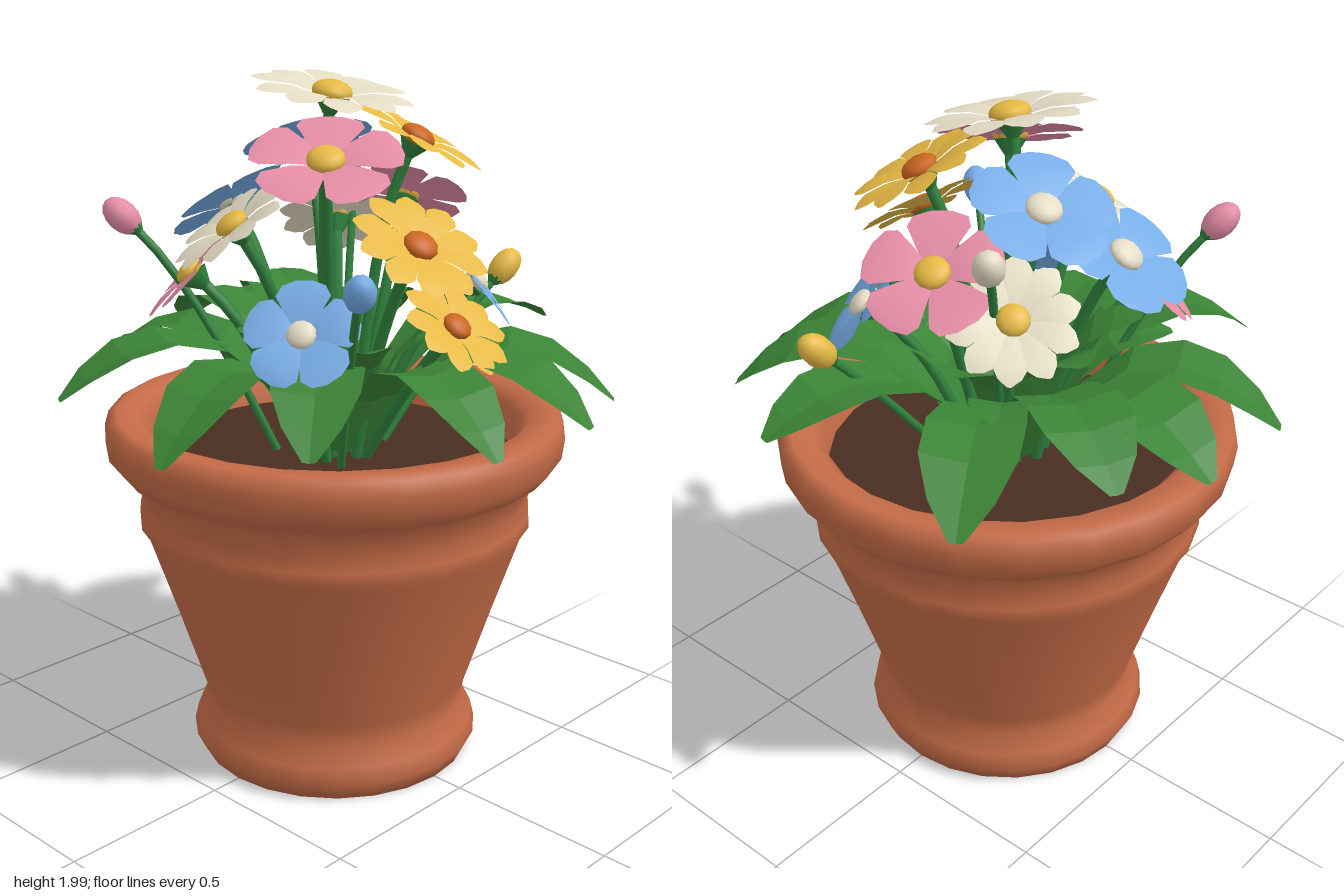
import * as THREE from 'three';
import { mergeGeometries } from 'three/addons/utils/BufferGeometryUtils.js';

const V = (x, y, z) => new THREE.Vector3(x, y, z);
const UP = V(0, 1, 0);

function mat(name, color, extra = {}) {
  const m = new THREE.MeshStandardMaterial({ color, ...extra });
  m.name = name;
  return m;
}

// Folded strip along +z; each row is [z, y, halfWidth], with raised edges
function blade(rows, fold) {
  const pos = [], idx = [];
  rows.forEach(([z, y, w], i) => {
    pos.push(-w, y + w * fold, z, 0, y, z, w, y + w * fold, z);
    if (i === 0) return;
    const a = (i - 1) * 3, b = i * 3;
    for (let k = 0; k < 2; k++) idx.push(a + k, b + k, a + k + 1, a + k + 1, b + k, b + k + 1);
  });
  const g = new THREE.BufferGeometry();
  g.setAttribute('position', new THREE.Float32BufferAttribute(pos, 3));
  g.setIndex(idx);
  g.computeVertexNormals();
  return g;
}

export function createModel() {
  const root = new THREE.Group();
  const thin = { side: THREE.DoubleSide };
  const M = {
    terracotta: mat('terracotta', 0xc46b47),
    soil: mat('soil', 0x4a2d21),
    leaf: mat('leaf green', 0x3b8336, { side: THREE.DoubleSide, flatShading: true }),
    stem: mat('stem green', 0x2f803c),
    pink: mat('pink', 0xe58ca6, thin),
    cream: mat('cream', 0xe4dcc4, thin),
    yellow: mat('yellow', 0xe6b944, thin),
    blue: mat('blue', 0x77ace6, thin),
    orange: mat('orange', 0xcc661f),
  };
  const add = (parent, name, geo, material) => {
    const m = new THREE.Mesh(geo, material);
    m.name = name;
    parent.add(m);
    return m;
  };

  // Pot with foot, body, band and rolled rim
  const profile = [
    [0, 0], [0.405, 0], [0.43, 0.05], [0.418, 0.1], [0.385, 0.155], [0.398, 0.22],
    [0.475, 0.46], [0.552, 0.69], [0.575, 0.725], [0.573, 0.76], [0.563, 0.8], [0.585, 0.875],
    [0.625, 0.897], [0.66, 0.94], [0.668, 1.0], [0.656, 1.04], [0.63, 1.053],
    [0.57, 1.045], [0.535, 1.01], [0.52, 0.9],
  ].map(([r, y]) => new THREE.Vector2(r, y));
  add(root, 'pot', new THREE.LatheGeometry(profile, 24), M.terracotta);
  const soil = add(root, 'soil', new THREE.CircleGeometry(0.528, 24).rotateX(-Math.PI / 2), M.soil);
  soil.position.y = 0.92;

  // Leaves: [tip x, tip y, tip z, half width, arch height]
  const leaves = [
    [0.1, 1.17, -0.77, 0.14, 1.38], [-0.35, 1.1, -0.7, 0.12, 1.36], [0.34, 1.2, -0.65, 0.13, 1.4],
    [0.68, 1.13, -0.42, 0.13, 1.38], [0.755, 1.22, 0.18, 0.12, 1.37], [0.46, 1.1, 0.65, 0.13, 1.35],
    [0.19, 1.1, 0.76, 0.13, 1.35], [-0.13, 1.07, 0.7, 0.12, 1.34], [-0.53, 1.1, 0.42, 0.12, 1.36],
    [-0.76, 1.07, 0.12, 0.12, 1.36], [-0.73, 1.15, -0.33, 0.12, 1.38],
    // Shorter upright leaves in the middle
    [0.33, 1.33, -0.1, 0.09, 1.3], [0.22, 1.3, 0.3, 0.09, 1.28], [-0.2, 1.3, 0.32, 0.09, 1.28],
    [-0.36, 1.33, 0.0, 0.09, 1.3], [-0.2, 1.38, -0.32, 0.09, 1.35], [0.14, 1.38, -0.38, 0.1, 1.35],
    [0.38, 1.28, -0.3, 0.09, 1.28], [-0.38, 1.26, -0.3, 0.09, 1.28],
  ];
  const leafShape = [[0, 0.32], [0.2, 0.6], [0.42, 0.86], [0.62, 1], [0.78, 0.98], [0.91, 0.65], [1, 0.15]];
  for (const [x, y, z, width, arch] of leaves) {
    const R = Math.hypot(x, z);
    const curve = new THREE.CubicBezierCurve3(
      V(0, 0.93, 0.08), V(0, arch - 0.05, R * 0.35), V(0, arch, R * 0.65), V(0, y, R));
    const rows = leafShape.map(([t, w]) => {
      const p = curve.getPoint(t);
      return [p.z, p.y, w * width];
    });
    add(root, 'leaf', blade(rows, 0.16), M.leaf).rotation.y = Math.atan2(x, z);
  }

  // Stem curving up from the soil to a head that points along n
  function stem(head, n, radius) {
    const base = V(head.x * 0.3, 0.92, head.z * 0.3);
    const bend = head.clone().addScaledVector(n, -0.22);
    const path = new THREE.QuadraticBezierCurve3(base, bend, head);
    add(root, 'stem', new THREE.TubeGeometry(path, 8, radius, 6), M.stem);
  }

  // Petal outlines as fractions of the flower radius: [distance, half width]
  const daisy = { count: 10, rows: [[0.1, 0.06], [0.5, 0.17], [0.78, 0.25], [0.92, 0.18], [1.04, 0.03]] };
  const pinkPetal = { count: 5, rows: [[0.1, 0.1], [0.4, 0.28], [0.75, 0.46], [0.93, 0.4], [1.02, 0.16]] };
  const bluePetal = { count: 5, rows: [[0.1, 0.1], [0.4, 0.31], [0.72, 0.48], [0.92, 0.38], [1.02, 0.15]] };
  const kinds = {
    cream: [daisy, 'yellow'], yellow: [daisy, 'orange'], pink: [pinkPetal, 'yellow'], blue: [bluePetal, 'cream'],
  };

  // Flowers: [colour, head position, facing, radius]
  const flowers = [
    ['cream', [0, 1.945, -0.01], [0, 0.98, 0.2], 0.22],
    ['yellow', [0.2, 1.82, 0.13], [0.28, 0.88, 0.36], 0.195],
    ['pink', [-0.205, 1.795, 0.165], [-0.33, 0.88, 0.3], 0.2],
    ['pink', [0.35, 1.625, -0.05], [0.52, 0.83, -0.24], 0.185],
    ['cream', [-0.35, 1.62, -0.045], [-0.5, 0.8, -0.28], 0.18],
    ['blue', [-0.07, 1.62, -0.35], [-0.1, 0.78, -0.55], 0.19],
    ['blue', [0.13, 1.78, -0.235], [0.17, 0.88, -0.42], 0.188],
    ['cream', [0.29, 1.54, -0.27], [0.5, 0.7, -0.5], 0.17],
    ['pink', [-0.305, 1.455, -0.275], [-0.5, 0.65, -0.5], 0.165],
    ['yellow', [-0.055, 1.575, 0.365], [-0.08, 0.8, 0.58], 0.185],
    ['yellow', [0.025, 1.355, 0.43], [0.04, 0.75, 0.65], 0.16],
    ['blue', [0.3, 1.42, 0.275], [0.55, 0.62, 0.55], 0.155],
    ['blue', [-0.375, 1.37, 0.24], [-0.65, 0.6, 0.45], 0.152],
  ];
  flowers.forEach(([colour, at, facing, R], i) => {
    const [kind, centre] = kinds[colour];
    const head = V(...at), n = V(...facing).normalize();
    stem(head.clone().addScaledVector(n, -0.06), n, 0.016);

    const flower = new THREE.Group();
    flower.name = colour + 'Flower';
    flower.position.copy(head);
    flower.quaternion.setFromUnitVectors(UP, n);
    root.add(flower);

    const petals = [];
    for (let k = 0; k < kind.count; k++) {
      // Petals cup upward, with every other one slightly lower
      const drop = -0.017 - (k % 2) * 0.004;
      const rows = kind.rows.map(([d, w]) => [d * R, drop + 0.14 * R * Math.sin(d * 2.3), w * R]);
      petals.push(blade(rows, -0.05).rotateY((k / kind.count) * Math.PI * 2 + i * 0.5));
    }
    add(flower, 'petals', mergeGeometries(petals), M[colour]);
    add(flower, 'flowerCentre', new THREE.SphereGeometry(R * 0.265, 12, 8).scale(1, 0.55, 1), M[centre]);
    add(flower, 'calyx', new THREE.CylinderGeometry(0.045, 0.016, 0.045, 8), M.stem).position.y = -0.042;
  });

  // Closed buds: [colour, position]
  const buds = [
    ['cream', [0.41, 1.73, -0.295]], ['pink', [-0.435, 1.61, -0.4]],
    ['blue', [-0.385, 1.51, 0.455]], ['yellow', [0.555, 1.405, 0.175]],
  ];
  for (const [colour, at] of buds) {
    const head = V(...at), n = V(at[0] * 1.1, 0.62, at[2] * 1.1).normalize();
    stem(head.clone().addScaledVector(n, -0.04), n, 0.012);
    const bud = new THREE.Group();
    bud.name = colour + 'Bud';
    bud.position.copy(head);
    bud.quaternion.setFromUnitVectors(UP, n);
    root.add(bud);
    add(bud, 'budPetals', new THREE.SphereGeometry(0.043, 10, 8).scale(1, 1.45, 1), M[colour]);
    add(bud, 'budCalyx', new THREE.CylinderGeometry(0.028, 0.012, 0.02, 8), M.stem).position.y = -0.056;
  }
  return root;
}
